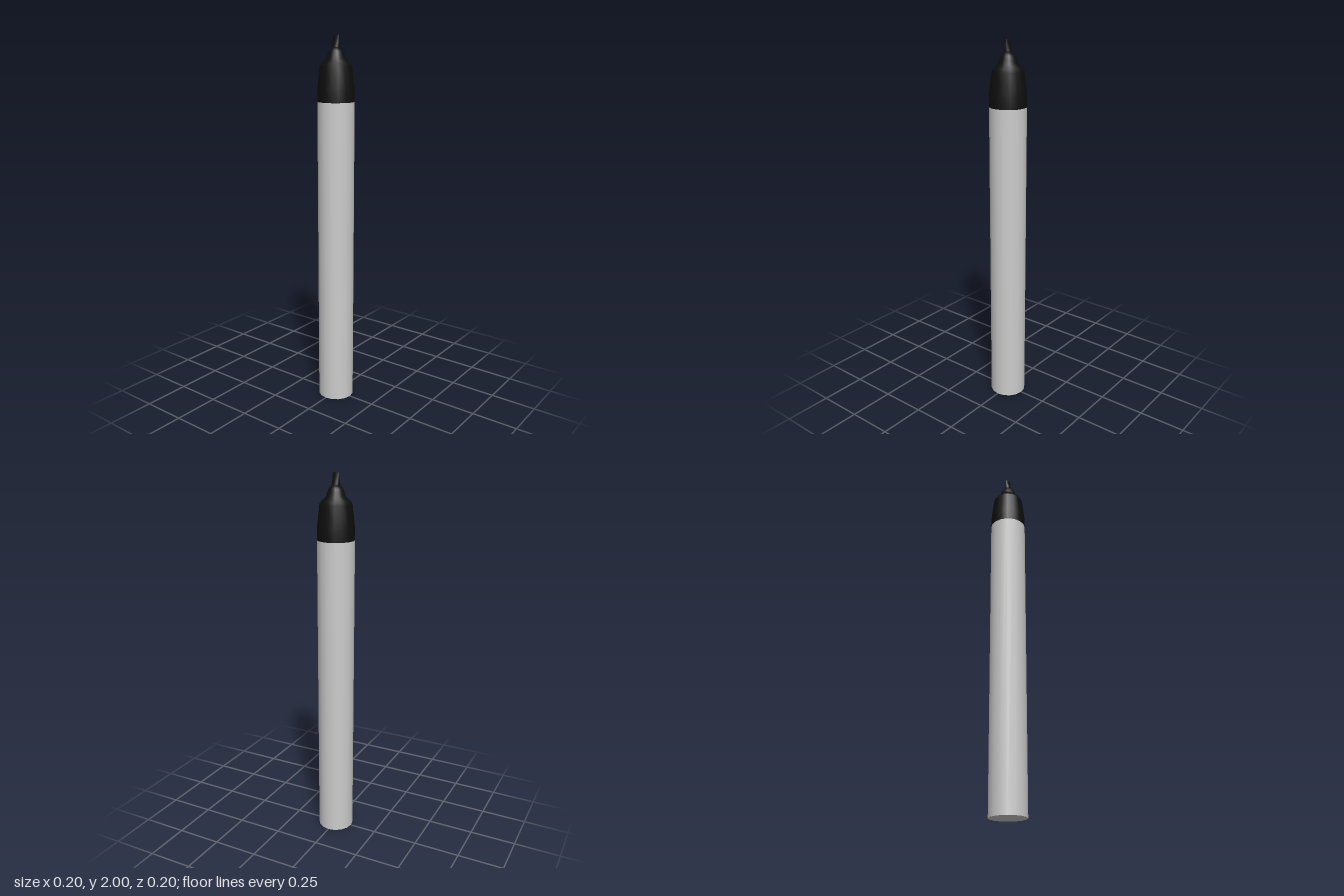
import * as THREE from 'three';

const SIDES = 16;

export function createModel() {
  const model = new THREE.Group();
  const barrelGrey = new THREE.MeshStandardMaterial({ color: 0xcccccc });
  barrelGrey.name = 'barrelGrey';
  const inkBlack = new THREE.MeshStandardMaterial({ color: 0x0e0e0e });
  inkBlack.name = 'inkBlack';

  const add = (name, geometry, material) => {
    const mesh = new THREE.Mesh(geometry, material);
    mesh.name = name;
    model.add(mesh);
  };

  // Straight barrel with a flat base
  const barrelTop = 1.665;
  const barrel = new THREE.CylinderGeometry(0.098, 0.098, barrelTop, SIDES);
  barrel.translate(0, barrelTop / 2, 0);
  add('barrel', barrel, barrelGrey);

  // Tapered grip and stepped nib holder
  const profile = [
    [0.098, barrelTop], [0.097, 1.73], [0.084, 1.845], [0.075, 1.86],
    [0.05, 1.882], [0.045, 1.9], [0.036, 1.922], [0.022, 1.94], [0, 1.941],
  ].map(([r, y]) => new THREE.Vector2(r, y));
  add('gripCone', new THREE.LatheGeometry(profile, SIDES), inkBlack);

  // Chisel nib: round at the base, pinched in x to a narrow edge along z
  const nibBase = 1.93, nibHeight = 2 - nibBase;
  const nib = new THREE.CylinderGeometry(0.017, 0.022, nibHeight, SIDES, 4);
  nib.translate(0, nibBase + nibHeight / 2, 0);
  const pos = nib.attributes.position;
  for (let i = 0; i < pos.count; i++) {
    const t = (pos.getY(i) - nibBase) / nibHeight;
    pos.setX(i, pos.getX(i) * (1 - 0.8 * t));
  }
  nib.computeVertexNormals();
  add('chiselNib', nib, inkBlack);

  return model;
}
